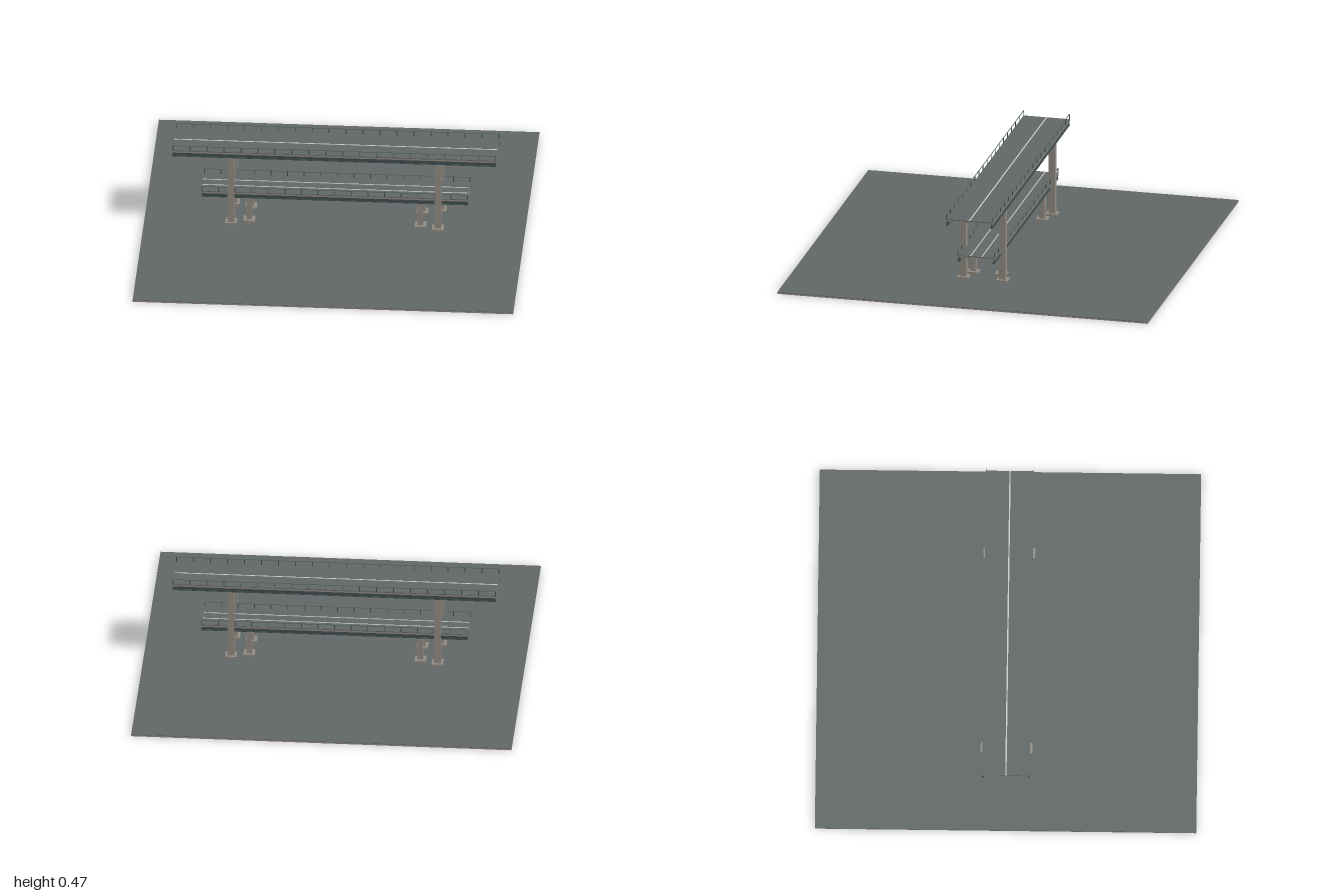
import * as THREE from 'three';

const mat = (name, color) => {
  const m = new THREE.MeshStandardMaterial({ color });
  m.name = name;
  return m;
};

export function createModel() {
  const asphalt = mat('asphalt', 0x606565);
  const concrete = mat('concrete', 0x918b82);
  const steel = mat('darkSteel', 0x414e4f);
  const railMetal = mat('railMetal', 0x5c6868);
  const paint = mat('lanePaint', 0xc9cac4);

  const model = new THREE.Group();
  model.name = 'doubleDeckBridge';

  // Box given by its size, centre x and z, and bottom height
  const box = (parent, name, material, [w, h, d], x, y, z) => {
    const mesh = new THREE.Mesh(new THREE.BoxGeometry(w, h, d), material);
    mesh.name = name;
    mesh.position.set(x, y + h / 2, z);
    parent.add(mesh);
  };

  // Deck: thin slab and road surface on two edge girders, with railings
  const addDeck = (name, length, width, bottom, top, railTop, bays) => {
    const deck = new THREE.Group();
    deck.name = name;
    model.add(deck);
    const slabBottom = top - 0.013;
    box(deck, 'slab', concrete, [length, 0.009, width], 0, slabBottom, 0);
    box(deck, 'roadSurface', asphalt, [length, 0.004, width], 0, top - 0.004, 0);
    for (const side of [-1, 1]) {
      // I-shaped girder: web between two flanges
      const girderZ = side * (width / 2 - 0.006);
      box(deck, 'girderWeb', steel, [length, slabBottom - bottom, 0.006], 0, bottom, girderZ);
      box(deck, 'lowerFlange', steel, [length, 0.004, 0.012], 0, bottom, girderZ);
      box(deck, 'upperFlange', steel, [length, 0.003, 0.012], 0, slabBottom - 0.003, girderZ);
      // Railing along the deck edge
      const railZ = side * (width / 2 - 0.0015);
      box(deck, 'topRail', railMetal, [length, 0.003, 0.003], 0, railTop - 0.003, railZ);
      for (let i = 0; i <= bays; i++) {
        const x = -length / 2 + 0.002 + (i * (length - 0.004)) / bays;
        box(deck, 'railPost', steel, [0.004, railTop - top - 0.003, 0.003], x, top, railZ);
      }
    }
    return deck;
  };

  // Two pairs of footed columns, each pair joined by a cap beam
  const addPiers = (name, x, z, size, top, foot) => {
    const group = new THREE.Group();
    group.name = name;
    model.add(group);
    for (const sx of [-1, 1]) {
      box(group, 'capBeam', concrete, [size, 0.008, 2 * z], sx * x, top, 0);
      for (const sz of [-1, 1]) {
        box(group, 'column', concrete, [size, top - 0.02, size], sx * x, 0.02, sz * z);
        box(group, 'footing', concrete, [foot, 0.012, foot], sx * x, 0.01, sz * z);
      }
    }
  };

  // Ground slab with a paved top
  box(model, 'groundSlab', concrete, [2, 0.008, 2], 0, 0, 0);
  box(model, 'groundSurface', asphalt, [2, 0.002, 2], 0, 0.008, 0);

  // Upper road deck with its centre line
  const upper = addDeck('upperDeck', 1.7, 0.25, 0.402, 0.437, 0.466, 19);
  box(upper, 'centreLine', paint, [1.7, 0.001, 0.007], 0, 0.437, 0);
  addPiers('upperPiers', 0.543, 0.106, 0.035, 0.403, 0.06);

  // Lower deck with lane lines
  const lower = addDeck('lowerDeck', 1.4, 0.2, 0.154, 0.188, 0.216, 16);
  for (const z of [-0.03, 0.03]) {
    box(lower, 'laneLine', paint, [1.4, 0.002, 0.005], 0, 0.188, z);
  }
  addPiers('lowerPiers', 0.45, 0.075, 0.03, 0.155, 0.06);

  return model;
}
